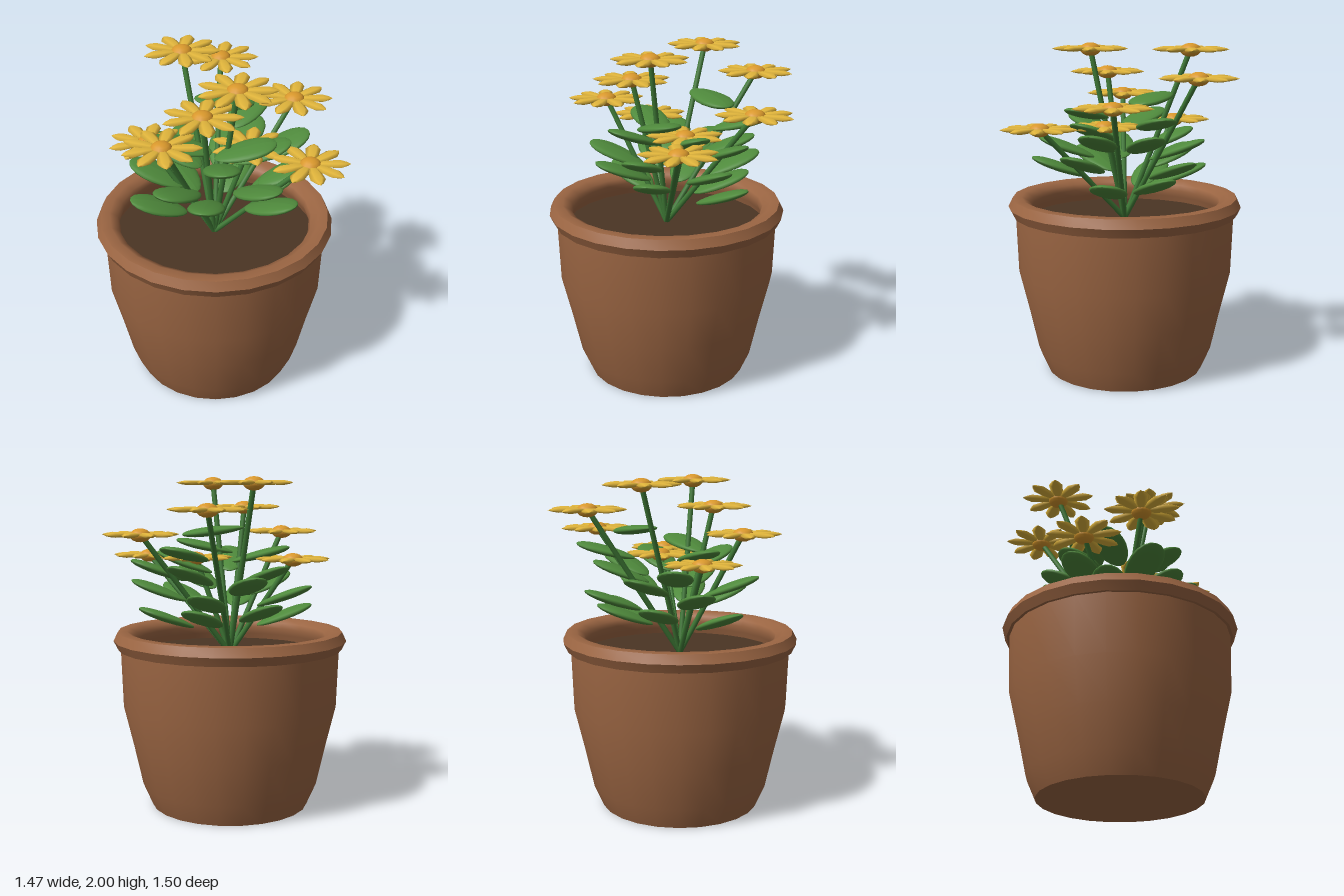
import * as THREE from 'three';
import { toCreasedNormals } from 'three/addons/utils/BufferGeometryUtils.js';

const mat = (color) => new THREE.MeshStandardMaterial({ color });
const clay = mat(0x9c6643), earth = mat(0x4b3524), green = mat(0x4f8a3c);
const stemGreen = mat(0x3f7a36), yellow = mat(0xe2b63c), amber = mat(0xd9982c);

const AXIS = new THREE.Vector3(-0.035, 0.94, 0.05); // where the stems meet the soil

// flower heads: x, y, z
const FLOWERS = [
  [0.015, 1.82, -0.525], [-0.215, 1.965, -0.3], [0.445, 1.67, -0.265],
  [-0.42, 1.52, -0.025], [0.17, 1.52, 0.03], [-0.325, 1.67, 0.305],
  [-0.1, 1.82, 0.24], [0.09, 1.965, 0.21], [0.5, 1.52, 0.24],
];

// leaves: centre x, y, z, then optional heading and tilt (radians)
const LEAVES = [
  [-0.36, 1.17, 0.12], [0.32, 1.17, -0.13], [0.08, 1.18, -0.26], [-0.24, 1.21, -0.2],
  [-0.37, 1.3, -0.04], [-0.08, 1.28, 0.31], [0.28, 1.27, 0.29], [0.39, 1.32, 0.0],
  [0.04, 1.28, -0.36], [-0.24, 1.35, 0.28], [-0.17, 1.37, -0.24], [0.2, 1.38, 0.31],
  [0.37, 1.45, -0.1], [-0.25, 1.42, -0.1], [0.15, 1.43, -0.25], [0.0, 1.5, 0.27],
  [0.24, 1.49, 0.05], [-0.22, 1.54, 0.06, Math.PI, 0.25], [0.17, 1.56, -0.34, 1.0, 0.25],
  [0.03, 1.69, -0.21, 0.1, -0.12], [0.14, 1.58, 0.19, 0.1, 0.22],
];

function mesh(name, geometry, material, parent) {
  const m = new THREE.Mesh(geometry, material);
  m.name = name;
  parent.add(m);
  return m;
}

const lathe = (points, sides) =>
  new THREE.LatheGeometry(points.map(([r, y]) => new THREE.Vector2(r, y)), sides);

function buildPot(root) {
  const pot = new THREE.Group();
  pot.name = 'pot';
  pot.position.set(AXIS.x, 0, AXIS.z);
  root.add(pot);
  const body = lathe([[0, 0], [0.48, 0], [0.537, 0.13], [0.59, 0.37], [0.65, 0.62], [0.663, 0.98]], 24);
  mesh('potBody', toCreasedNormals(body, 0.7), clay, pot);
  const rim = lathe([[0.655, 0.972], [0.68, 0.972], [0.706, 1.025], [0.68, 1.078],
    [0.625, 1.08], [0.58, 1.055], [0.568, 1.02], [0.585, 0.975], [0.6, 0.93]], 24);
  mesh('potRim', toCreasedNormals(rim, 0.9), clay, pot);
  const soil = mesh('soil', new THREE.CircleGeometry(0.61, 24), earth, pot);
  soil.rotation.x = -Math.PI / 2;
  soil.position.y = AXIS.y;
}

function buildFlowers(root) {
  // six-sided petal, widest near its pointed tip, flattened
  const petal = lathe([[0, 0.03], [0.022, 0.04], [0.038, 0.1], [0.043, 0.17], [0.022, 0.207], [0, 0.228]], 6);
  petal.rotateY(Math.PI / 6).scale(1, 1, 0.36).rotateX(-Math.PI / 2);
  const disc = new THREE.SphereGeometry(1, 14, 8).scale(0.062, 0.04, 0.062);

  for (const p of FLOWERS) {
    const head = new THREE.Vector3(...p);
    const stem = new THREE.LineCurve3(AXIS, head);
    mesh('stem', new THREE.TubeGeometry(stem, 1, 0.016, 8), stemGreen, root);
    const flower = new THREE.Group();
    flower.name = 'flower';
    flower.position.copy(head);
    root.add(flower);
    mesh('flowerCentre', disc, amber, flower).position.y = -0.005;
    for (let i = 0; i < 9; i++) {
      mesh('petal', petal, yellow, flower).rotation.y = -0.19 - (i * Math.PI * 2) / 9;
    }
  }
}

function buildLeaves(root) {
  // flattened ellipsoid along +x, narrower toward its base
  const blade = new THREE.SphereGeometry(1, 16, 10).rotateZ(-Math.PI / 2);
  const pos = blade.attributes.position;
  for (let i = 0; i < pos.count; i++) {
    const x = pos.getX(i), w = 1 + 0.15 * x;
    pos.setXYZ(i, x * 0.18, pos.getY(i) * 0.027 * w, pos.getZ(i) * 0.105 * w);
  }
  blade.computeVertexNormals();

  for (const [x, y, z, heading, tilt = 0.36] of LEAVES) {
    const leaf = mesh('leaf', blade, green, root);
    leaf.position.set(x, y, z);
    leaf.rotation.order = 'YZX';
    leaf.rotation.y = heading ?? Math.atan2(AXIS.z - z, x - AXIS.x);
    leaf.rotation.z = tilt;
  }
}

export function createModel() {
  const root = new THREE.Group();
  root.name = 'pottedFlowers';
  buildPot(root);
  buildFlowers(root);
  buildLeaves(root);
  return root;
}
